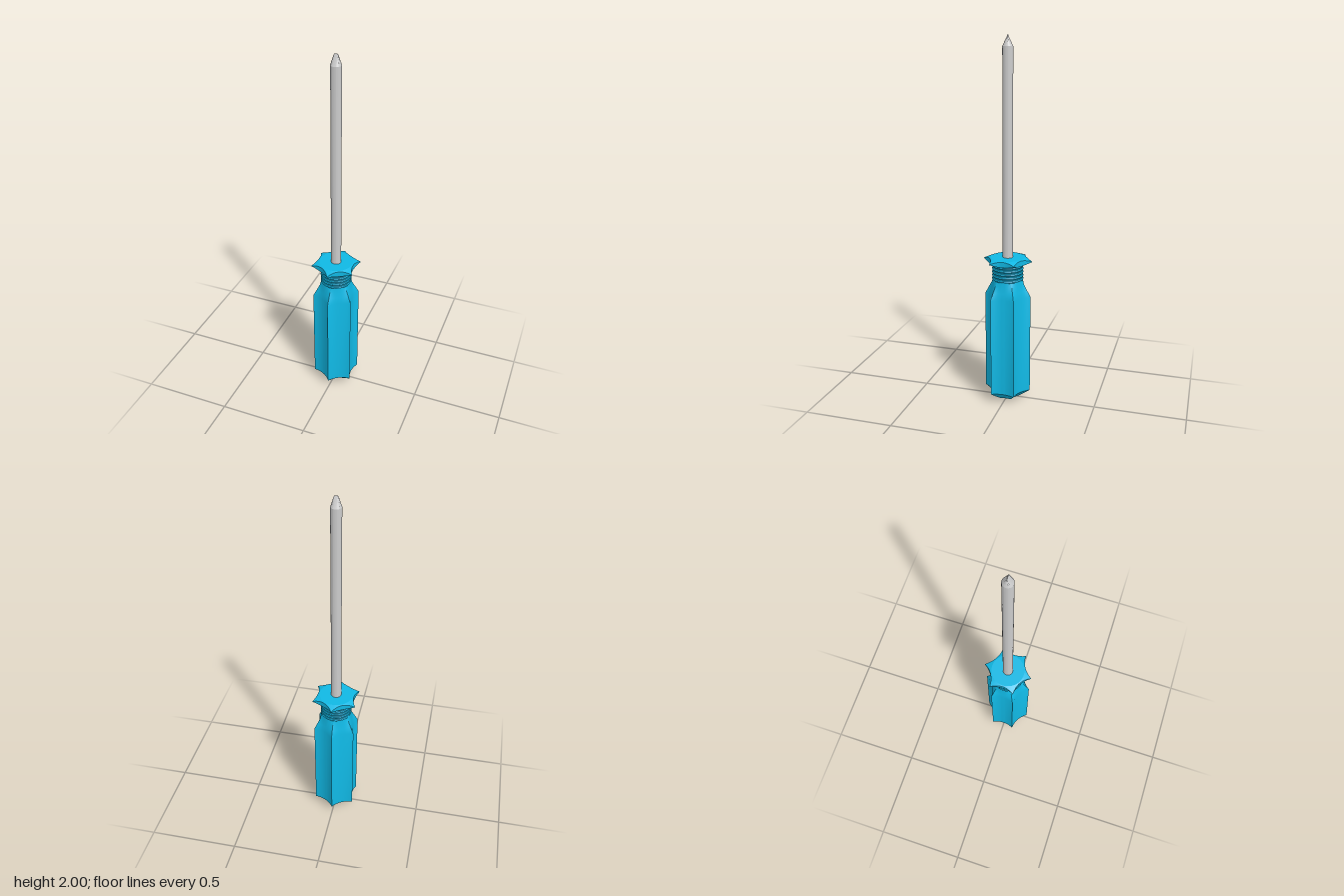
import * as THREE from 'three';
import { toCreasedNormals } from 'three/addons/utils/BufferGeometryUtils.js';

const SEG = 72;
const blue = new THREE.MeshStandardMaterial({ color: 0x10b8e4 });
const steel = new THREE.MeshStandardMaterial({ color: 0xcccccc });

// Skin a stack of closed rings, bottom to top; each ring maps an angle to [x, y, z]
function loft(name, rings, material, crease = 0.4) {
  const pos = [], index = [];
  for (const ring of rings)
    for (let j = 0; j < SEG; j++) pos.push(...ring((j / SEG) * Math.PI * 2));
  for (let i = 0; i < rings.length - 1; i++)
    for (let j = 0; j < SEG; j++) {
      const k = (j + 1) % SEG, a = i * SEG + j, b = i * SEG + k;
      index.push(a, a + SEG, b, b, a + SEG, b + SEG);
    }
  const geo = new THREE.BufferGeometry();
  geo.setAttribute('position', new THREE.Float32BufferAttribute(pos, 3));
  geo.setIndex(index);
  const mesh = new THREE.Mesh(toCreasedNormals(geo, crease), material);
  mesh.name = name;
  return mesh;
}

// Radius of a six-pointed outline with hollow arcs between tips (tips on the z axis)
function star(t, tip, hollow) {
  const step = Math.PI / 3;
  const phi = t - Math.round(t / step) * step;
  const sag = tip * Math.cos(Math.PI / 6) - hollow;
  const rho = (tip * tip / 4 + sag * sag) / (2 * sag);
  const c = hollow + rho;
  return c * Math.cos(phi) - Math.sqrt(rho * rho - (c * Math.sin(phi)) ** 2);
}

const polar = (r, y, t) => [r * Math.cos(t), y, r * Math.sin(t)];
const circle = (r, y) => t => polar(r, y, t);
const oval = (rx, rz, y) => t => [rx * Math.cos(t), y, rz * Math.sin(t)];
const starRing = (tip, hollow, y) => t => polar(star(t, tip, hollow), y, t);
// Blend from the grip outline (k = 0) to the round neck (k = 1)
const blend = (k, y) => t => polar(THREE.MathUtils.lerp(star(t, 0.13, 0.097), 0.083, k), y, t);

export function createModel() {
  const model = new THREE.Group();
  model.name = 'screwdriver';

  // Fluted grip, chamfered at the butt and rounding off into the neck
  model.add(loft('grip', [
    circle(0, 0.003), starRing(0.06, 0.046, 0.003), starRing(0.075, 0.057, 0.012),
    starRing(0.13, 0.097, 0.05), starRing(0.13, 0.097, 0.61),
    blend(0.4, 0.645), blend(0.8, 0.68), blend(1, 0.705), circle(0, 0.705),
  ], blue));
  // Flat butt cap at ground level
  model.add(loft('buttCap', [
    circle(0, 0), starRing(0.055, 0.043, 0), starRing(0.06, 0.046, 0.004),
  ], blue));

  // Neck with rounded ridges
  const neck = [];
  const ridges = 5, bottom = 0.7, pitch = 0.019;
  for (let i = 0; i < ridges; i++)
    for (const [f, r] of [[0, 0.076], [0.15, 0.083], [0.5, 0.086], [0.85, 0.083]])
      neck.push(circle(r, bottom + (i + f) * pitch));
  neck.push(circle(0.076, bottom + ridges * pitch));
  model.add(loft('ridgedNeck', neck, blue, 0.6));

  // Star guard: hollow outline between a sloped underside and a coned top
  const guardR = t => star(t, 0.138, 0.1);
  const under = r => 0.788 + (r - 0.078) / 0.06 * 0.024;
  const over = r => 0.83 - (r - 0.093) / 0.045 * 0.016;
  model.add(loft('guard', [
    circle(0.076, 0.787),
    t => polar(guardR(t), under(guardR(t)), t),
    t => polar(guardR(t), over(guardR(t)), t),
    circle(0.093, 0.83), circle(0, 0.83),
  ], blue, 0.3));

  // Round shaft tapering to a flat blade edge
  model.add(loft('shaft', [
    circle(0.028, 0.8), circle(0.028, 1.945),
    oval(0.013, 0.004, 1.992), oval(0.009, 0.0008, 2), circle(0, 2),
  ], steel, 0.3));

  return model;
}
